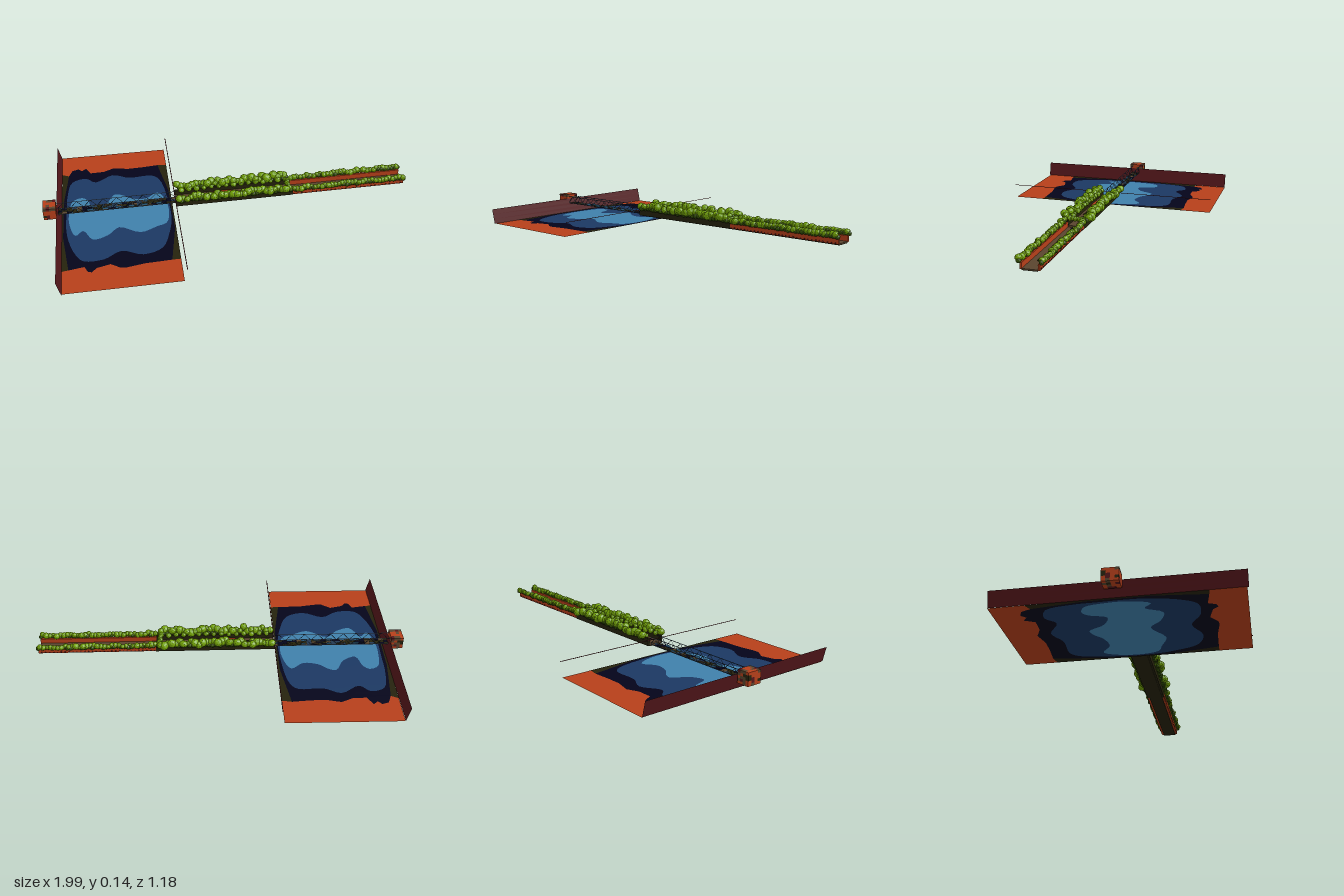
import * as THREE from 'three';

const mat = (name, color, double = false) => {
  const m = new THREE.MeshStandardMaterial({ color, flatShading: true });
  m.name = name;
  if (double) m.side = THREE.DoubleSide;
  return m;
};

export function createModel() {
  const root = new THREE.Group();
  root.name = 'bridgeAndGardenWalk';
  const M = {
    brick: mat('brick red', 0xb63f1a, true),
    maroon: mat('dark maroon', 0x53161a, true),
    olive: mat('dark olive', 0x25220c, true),
    navy: mat('deep navy', 0x04041a, true),
    blue: mat('mid blue', 0x1b3862, true),
    light: mat('shallow blue', 0x3f80ab, true),
    leaf: mat('leaf green', 0x74a404),
    shade: mat('shaded leaf green', 0x3a5806),
    deck: mat('weathered deck', 0x5a452e),
    steel: mat('blue steel', 0x243a52),
  };
  let seed = 7;
  const rnd = () => (seed = (seed * 16807) % 2147483647) / 2147483647;

  const add = (name, geo, m, parent = root) => {
    const mesh = new THREE.Mesh(geo, m);
    mesh.name = name;
    parent.add(mesh);
    return mesh;
  };
  // Box given by its minimum and maximum on each axis
  const box = (name, x0, x1, y0, y1, z0, z1, m, parent) => {
    const b = add(name, new THREE.BoxGeometry(x1 - x0, y1 - y0, z1 - z0), m, parent);
    b.position.set((x0 + x1) / 2, (y0 + y1) / 2, (z0 + z1) / 2);
    return b;
  };
  const group = (name) => {
    const g = new THREE.Group();
    g.name = name;
    root.add(g);
    return g;
  };

  // River: flat regions that share their [x, z] edges
  const river = group('river');
  const vec = (pts) => pts.map(([x, z]) => new THREE.Vector2(x, z));
  const region = (name, m, pts, hole) => {
    const shape = new THREE.Shape(vec(pts));
    if (hole) shape.holes.push(new THREE.Path(vec(hole)));
    add(name, new THREE.ShapeGeometry(shape).rotateX(Math.PI / 2), m, river);
  };
  const smooth = (pts) => new THREE.CatmullRomCurve3(pts.map(([x, z]) => new THREE.Vector3(x, 0, z)), true)
    .getPoints(pts.length * 4).slice(0, -1).map((p) => [p.x, p.z]);
  const backShore = [[-0.87, -0.4], [-0.85, -0.45], [-0.815, -0.462], [-0.795, -0.44], [-0.77, -0.462], [-0.745, -0.41],
    [-0.67, -0.412], [-0.61, -0.44], [-0.53, -0.42], [-0.45, -0.422], [-0.355, -0.43]];
  const frontShore = [[-0.88, 0.415], [-0.8, 0.402], [-0.785, 0.44], [-0.765, 0.448], [-0.74, 0.42], [-0.67, 0.402],
    [-0.62, 0.438], [-0.59, 0.44], [-0.5, 0.425], [-0.36, 0.42]];
  const leftShore = [[-0.9, -0.15], [-0.905, 0.16]];
  const rightShore = [[-0.317, -0.17], [-0.318, 0.17]];
  const midWater = smooth([[-0.884, -0.1], [-0.88, -0.2], [-0.85, -0.335], [-0.775, -0.36], [-0.72, -0.315], [-0.62, -0.37],
    [-0.53, -0.33], [-0.4, -0.33], [-0.36, -0.29], [-0.328, -0.08], [-0.328, 0.09], [-0.35, 0.2], [-0.4, 0.32],
    [-0.5, 0.355], [-0.61, 0.31], [-0.7, 0.36], [-0.8, 0.36], [-0.84, 0.31], [-0.885, 0.14]]);
  const shallows = smooth([[-0.872, -0.05], [-0.85, -0.155], [-0.8, -0.177], [-0.77, -0.15], [-0.74, -0.07], [-0.67, -0.1],
    [-0.62, -0.18], [-0.58, -0.17], [-0.53, -0.13], [-0.45, -0.115], [-0.38, -0.16], [-0.338, -0.06], [-0.338, 0.06],
    [-0.36, 0.12], [-0.41, 0.14], [-0.5, 0.175], [-0.61, 0.115], [-0.67, 0.17], [-0.75, 0.195], [-0.8, 0.115],
    [-0.84, 0.15], [-0.872, 0.05]]);
  const backL = [-0.908, -0.42], backR = [-0.304, -0.42], frontL = [-0.916, 0.42], frontR = [-0.315, 0.42];
  region('backBank', M.brick, [[-0.906, -0.592], [-0.302, -0.588], backR, ...[...backShore].reverse(), backL]);
  region('frontBank', M.brick, [[-0.918, 0.583], [-0.317, 0.587], frontR, ...[...frontShore].reverse(), frontL]);
  region('leftMoss', M.olive, [backL, backShore[0], ...leftShore, frontShore[0], frontL]);
  region('rightMoss', M.olive, [backR, backShore.at(-1), ...rightShore, frontShore.at(-1), frontR]);
  region('deepWater', M.navy,
    [...backShore, ...rightShore, ...[...frontShore].reverse(), ...[...leftShore].reverse()], midWater);
  region('midWater', M.blue, midWater, shallows);
  region('shallowWater', M.light, shallows);

  // Leaning embankment wall and the thin rail on the opposite bank
  const wall = add('embankmentWall', new THREE.PlaneGeometry(1.18, 0.08, 1, 3), M.maroon);
  const wp = wall.geometry.attributes.position;
  for (let i = 0; i < wp.count; i++) {
    const z = wp.getX(i), t = (wp.getY(i) + 0.04) / 0.08;
    wp.setXYZ(i, -0.911 - 0.019 * t - 0.006 * z, t * 0.08, z);
  }
  wall.geometry.computeVertexNormals();
  box('bankRail', -0.298, -0.294, 0.077, 0.079, -0.59, 0.59, M.maroon).rotation.y = -0.01;

  // Gatehouse block laid from mixed stones
  const gate = group('gatehouse');
  const stones = [M.brick, M.brick, M.brick, M.deck, M.maroon, M.brick, M.olive, M.deck];
  for (let i = 0; i < 4; i++)
    for (let j = 0; j < 5; j++)
      for (let k = 0; k < 4; k++) {
        const x = -1 + i * 0.0168, y = 0.036 + j * 0.0136, z = -0.048 + k * 0.0205;
        box('stone', x, x + 0.0168, y, y + 0.0136, z, z + 0.0205, stones[Math.floor(rnd() * 8)], gate);
      }

  // Truss bridge: planked deck, chords and zigzag braces on both sides
  const bridge = group('trussBridge');
  const x0 = -0.93, x1 = -0.29, bays = 9, pitch = (x1 - x0) / bays;
  const bar = (name, a, b, r = 0.0018) => {
    const A = new THREE.Vector3(...a), B = new THREE.Vector3(...b);
    const m = add(name, new THREE.CylinderGeometry(r, r, A.distanceTo(B), 4), M.steel, bridge);
    m.position.copy(A).add(B).multiplyScalar(0.5);
    m.quaternion.setFromUnitVectors(new THREE.Vector3(0, 1, 0), B.sub(A).normalize());
  };
  for (const z of [-0.027, 0.02]) {
    bar('topChord', [x0, 0.092, z], [x1, 0.092, z]);
    bar('bottomChord', [x0, 0.053, z], [x1, 0.053, z]);
    for (let i = 0; i < bays; i++) {
      const x = x0 + i * pitch;
      bar('brace', [x, 0.053, z], [x + pitch / 2, 0.092, z], 0.0014);
      bar('brace', [x + pitch / 2, 0.092, z], [x + pitch, 0.053, z], 0.0014);
    }
  }
  const planks = [M.olive, M.steel, M.deck, M.olive, M.navy];
  for (let i = 0; i < 24; i++)
    for (let k = 0; k < 3; k++) {
      const x = x0 + (i * (x1 - x0)) / 24, z = -0.027 + k * 0.016;
      box('plank', x, x + 0.0262, 0.051, 0.054, z, z + 0.0155, planks[Math.floor(rnd() * 5)], bridge);
    }
  [-0.77, -0.69, -0.62, -0.55, -0.48, -0.4].forEach((x, i) => {
    box('bluePanel', x, x + 0.032, 0.054, 0.064, 0.012, 0.015, M.light, bridge);
    box('brownPanel', x + 0.01, x + 0.036, 0.054, 0.061, -0.02, -0.016, i % 2 ? M.deck : M.light, bridge);
  });

  // Raised walk: dark section, then a brick channel
  const walk = group('raisedWalk');
  box('darkFloor', -0.295, 0.35, 0.048, 0.062, -0.036, 0.038, M.deck, walk);
  box('darkUnderside', -0.295, 0.35, 0.045, 0.048, -0.036, 0.038, M.olive, walk);
  box('brickFloor', 0.35, 0.985, 0.048, 0.053, -0.036, 0.038, M.deck, walk);
  box('brickUnderside', 0.35, 0.985, 0.045, 0.048, -0.036, 0.038, M.olive, walk);
  for (const s of [-1, 1]) {
    const span = (name, a, b, y0, y1, zi, zo, m) =>
      box(name, a, b, y0, y1, Math.min(s * zi, s * zo), Math.max(s * zi, s * zo), m, walk);
    span('darkSide', -0.295, 0.35, 0.048, 0.09, 0.036, 0.048, M.olive);
    span('brickSide', 0.35, 0.985, 0.05, 0.08, 0.038, 0.048, M.brick);
    for (let i = 0; i < 30; i++)
      span('brickStud', 0.355 + i * 0.021, 0.362 + i * 0.021, 0.052, 0.058, 0.047, 0.05, M.maroon);
  }
  box('redBench', -0.085, 0.015, 0.062, 0.08, -0.014, 0.018, M.brick, walk);
  // Scattered floor boards
  for (let i = 0; i < 24; i++) {
    const x = -0.27 + i * 0.05, z = -0.026 + rnd() * 0.042, y = x < 0.29 ? 0.061 : 0.052;
    box('floorBoard', x, x + 0.03 + rnd() * 0.03, y, y + 0.003, z, z + 0.007, i % 4 ? M.olive : M.navy, walk);
  }

  // Hedges: faceted bushes in two rows, bright crowns over shaded lower growth
  const hedge = group('hedges');
  const leafShape = new THREE.IcosahedronGeometry(1, 1);
  const bush = (x, y, z, r, m = M.leaf) => {
    const b = add(m === M.leaf ? 'crownBush' : 'lowerBush', leafShape, m, hedge);
    b.position.set(x, y, z);
    b.scale.set(r * (0.9 + rnd() * 0.25), r * (0.85 + rnd() * 0.2), r * (0.9 + rnd() * 0.2));
    b.rotation.set(rnd() * 6, rnd() * 6, 0);
  };
  for (const s of [-1, 1]) {
    for (let i = 0; i < 30; i++) {
      const x = -0.277 + i * 0.0207, grow = Math.min(1, 0.7 + i * 0.03);
      bush(x, 0.1 + rnd() * 0.014 * grow, s * (0.044 + rnd() * 0.03), 0.016 + rnd() * 0.008 * grow);
      bush(x + 0.01, 0.088 + rnd() * 0.006, s * (0.05 + rnd() * 0.012), 0.014, M.shade);
      if (i % 2) bush(x, 0.092 + rnd() * 0.006, s * (0.032 + rnd() * 0.008), 0.012 + rnd() * 0.005);
    }
    for (let i = 0; i < 33; i++) {
      const x = 0.355 + i * 0.0193;
      bush(x, 0.092 + rnd() * 0.006, s * (0.044 + rnd() * 0.018), 0.013 + rnd() * 0.005);
      bush(x + 0.009, 0.086 + rnd() * 0.004, s * (0.049 + rnd() * 0.008), 0.013, M.shade);
    }
  }
  // Cross hedge where the sections meet
  for (let i = 0; i < 6; i++) bush(0.318 + rnd() * 0.015, 0.092 + rnd() * 0.004, -0.03 + i * 0.012, 0.013);

  return root;
}
